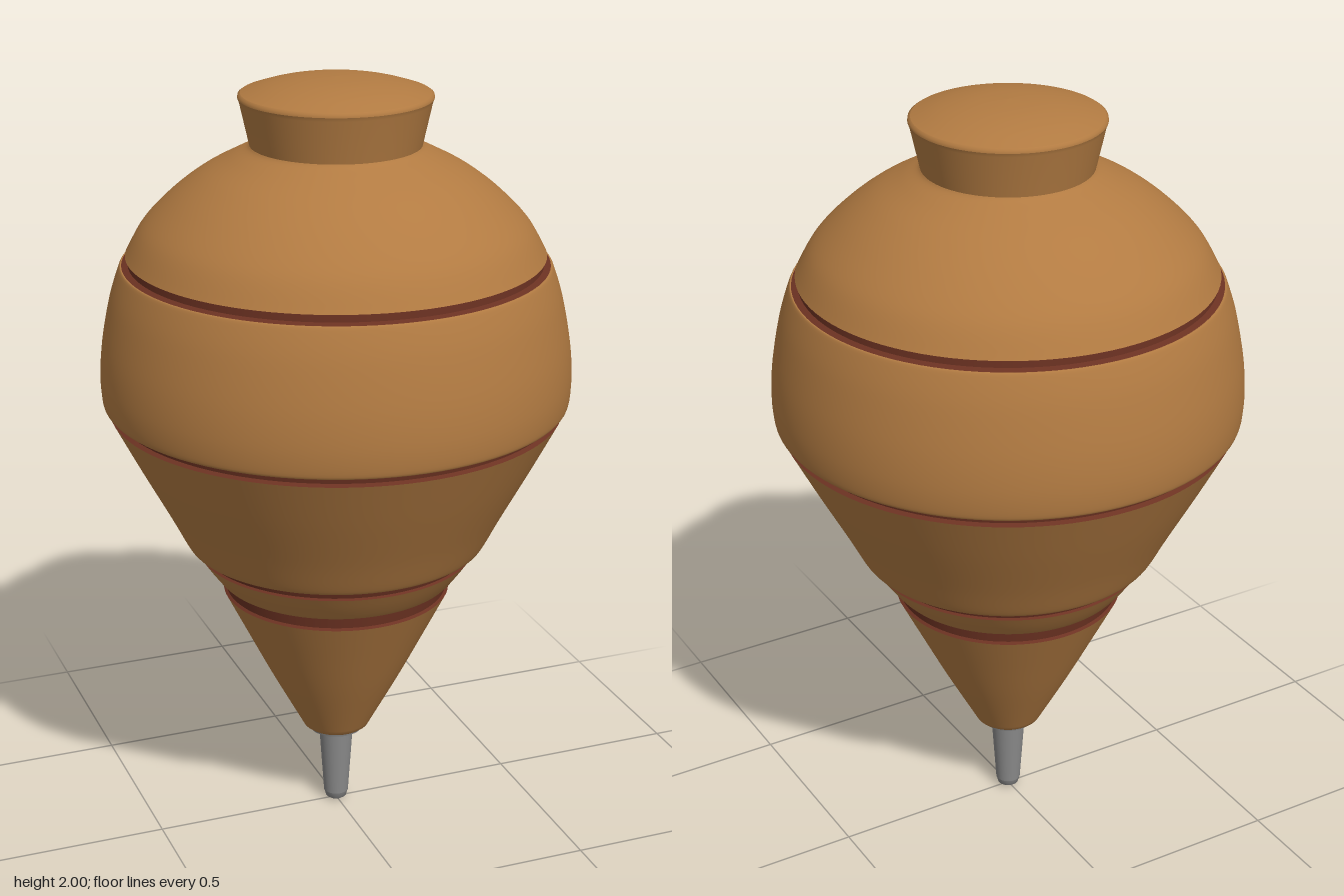
import * as THREE from 'three';

const wood = new THREE.MeshStandardMaterial({ color: 0xb27b42 });
wood.name = 'wood';
const darkWood = new THREE.MeshStandardMaterial({ color: 0x6c3222 });
darkWood.name = 'dark red groove';
const metal = new THREE.MeshStandardMaterial({ color: 0x8a8a8a });
metal.name = 'metal';

const SEGMENTS = 96;

// Profiles are [radius, height] pairs from bottom to top; each call is one smooth run.
function turned(name, profile, material, samples = 0) {
  let points = profile.map(([r, y]) => new THREE.Vector2(r, y));
  if (samples) points = new THREE.SplineCurve(points).getPoints(samples);
  points.forEach((p) => { p.x = Math.max(p.x, 0); });
  const mesh = new THREE.Mesh(new THREE.LatheGeometry(points, SEGMENTS), material);
  mesh.name = name;
  return mesh;
}

export function createModel() {
  const group = new THREE.Group();
  group.name = 'spinningTop';

  // Metal spike and the collar where it enters the wood
  group.add(
    turned('spikeEnd', [[0, 0], [0.02, 0.002], [0.028, 0.008], [0.033, 0.025]], metal),
    turned('spike', [[0.033, 0.025], [0.046, 0.222]], metal),
    turned('collarUnderside', [[0.044, 0.222], [0.072, 0.222]], metal),
    turned('collarRim', [[0.072, 0.222], [0.075, 0.234]], metal),
  );

  // Wooden body, one curved section between each pair of grooves
  group.add(
    turned('bodyFoot', [[0.07, 0.23], [0.08, 0.231], [0.088, 0.237], [0.094, 0.248]], wood),
    turned('lowerCone', [[0.094, 0.248], [0.175, 0.4], [0.245, 0.54], [0.297, 0.645]], wood, 16),
    turned('lowerBand', [[0.302, 0.681], [0.312, 0.688], [0.338, 0.722], [0.364, 0.76]], wood, 12),
    turned('bellyCone', [[0.385, 0.789], [0.395, 0.797], [0.44, 0.885], [0.512, 1.02], [0.58, 1.152]], wood, 24),
    turned('belly', [[0.585, 1.176], [0.596, 1.184], [0.6, 1.25], [0.592, 1.34], [0.57, 1.45], [0.546, 1.525], [0.538, 1.534]], wood, 36),
    turned('shoulder', [[0.528, 1.558], [0.485, 1.633], [0.415, 1.705], [0.34, 1.762], [0.265, 1.803], [0.225, 1.823], [0.214, 1.832]], wood, 36),
  );

  // Dark grooves: a ledge, a wall and the underside of the lip above
  const grooves = [
    // lower edge, wall bottom, wall top, upper edge
    [[0.297, 0.645], [0.29, 0.65], [0.295, 0.681], [0.302, 0.681]],
    [[0.364, 0.76], [0.358, 0.764], [0.367, 0.789], [0.385, 0.789]],
    [[0.58, 1.152], [0.568, 1.157], [0.572, 1.176], [0.585, 1.176]],
    [[0.538, 1.534], [0.522, 1.538], [0.521, 1.558], [0.528, 1.558]],
  ];
  grooves.forEach((g, i) => {
    const groove = new THREE.Group();
    groove.name = `groove${i + 1}`;
    ['ledge', 'wall', 'lipUnderside'].forEach((part, k) => {
      groove.add(turned(part, [g[k], g[k + 1]], darkWood));
    });
    group.add(groove);
  });

  // Flared neck with a softly rounded rim and a domed cap
  group.add(
    turned('neck', [[0.214, 1.832], [0.238, 1.94], [0.242, 1.95]], wood),
    turned('neckRim', [[0.242, 1.95], [0.241, 1.957], [0.235, 1.961]], wood),
    turned('capDome', [[0.235, 1.961], [0.17, 1.981], [0.09, 1.995], [0, 2]], wood, 12),
  );
  return group;
}
